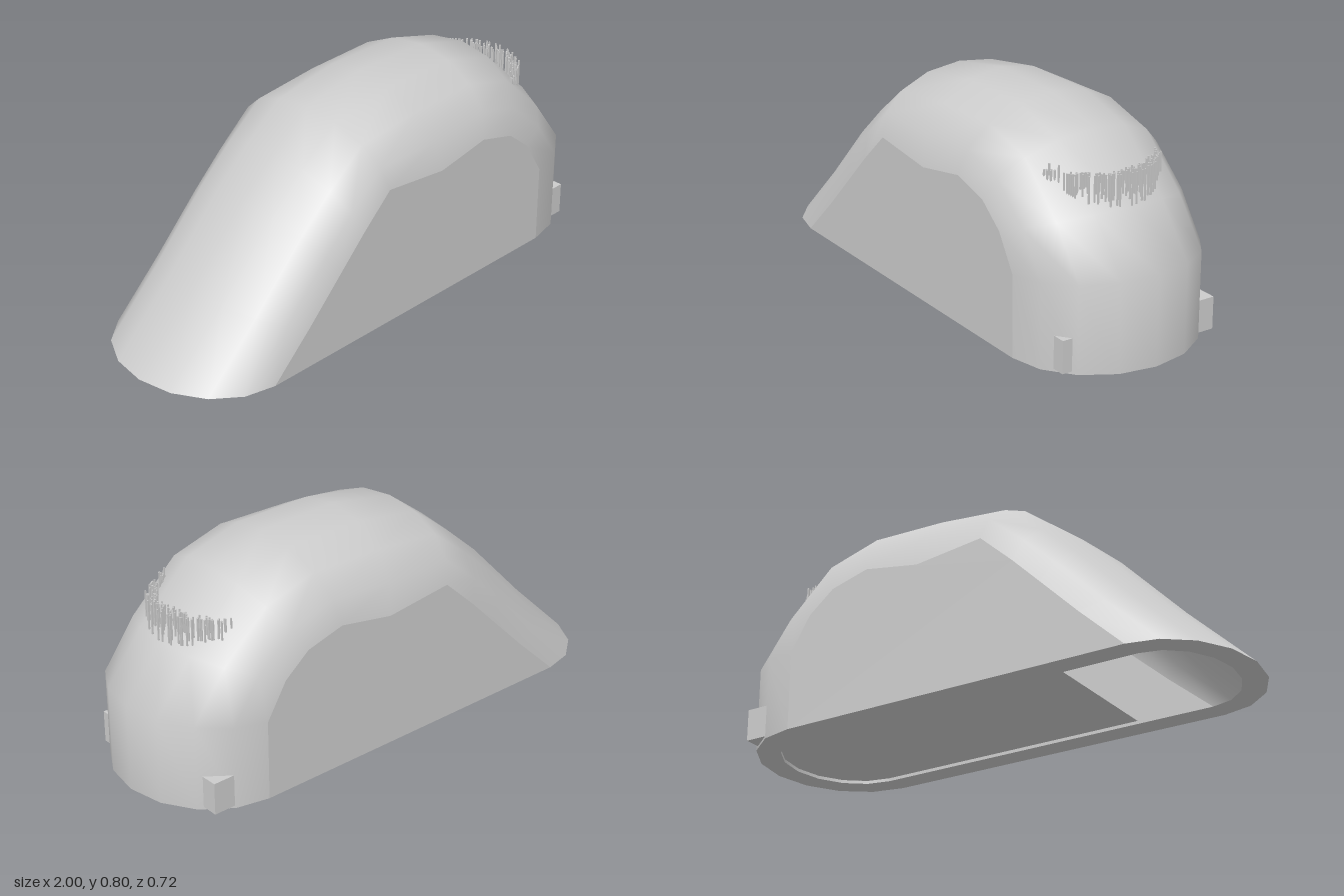
import * as THREE from 'three';

// Matching side profiles (x, y): along the centre line and along the flat side walls
const CREST = [[-1, 0], [-0.75, 0.24], [-0.5, 0.5], [-0.35, 0.63], [-0.19, 0.75], [0.08, 0.8],
  [0.4, 0.795], [0.63, 0.73], [0.85, 0.52], [1, 0.33], [1, 0]];
const SIDE = [[-0.7, 0], [-0.53, 0.16], [-0.38, 0.31], [-0.27, 0.42], [-0.14, 0.54], [0.13, 0.51],
  [0.35, 0.55], [0.5, 0.51], [0.6, 0.43], [0.68, 0.3], [0.68, 0]];
const HALF = 0.36, WALL = 0.09, ARC = 8;

const mat = new THREE.MeshStandardMaterial({ color: 0xcccccc });
const matDouble = new THREE.MeshStandardMaterial({ color: 0xcccccc, side: THREE.DoubleSide });

function named(name, geometry, material = mat) {
  const mesh = new THREE.Mesh(geometry, material);
  mesh.name = name;
  return mesh;
}

// Point i of the profile, swung from one side wall (j = 0) over the crest to the other (j = ARC)
function skinPoint(crest, side, half, i, j) {
  const a = -Math.PI / 2 + Math.PI * j / ARC, c = Math.cos(a);
  return [THREE.MathUtils.lerp(side[i][0], crest[i][0], c),
    THREE.MathUtils.lerp(side[i][1], crest[i][1], c), half * Math.sin(a)];
}

function skin(crest, side, half) {
  const pos = [], idx = [];
  for (let i = 0; i < crest.length; i++) {
    for (let j = 0; j <= ARC; j++) {
      pos.push(...skinPoint(crest, side, half, i, j));
      if (i < crest.length - 1 && j < ARC) {
        const a = i * (ARC + 1) + j, b = a + ARC + 1;
        idx.push(a, a + 1, b, a + 1, b + 1, b);
      }
    }
  }
  const g = new THREE.BufferGeometry();
  g.setAttribute('position', new THREE.Float32BufferAttribute(pos, 3));
  g.setIndex(idx);
  g.computeVertexNormals();
  return g;
}

// Outline on the ground, as (x, z) points
function footprint(crest, side, half) {
  const pts = [];
  for (let j = 0; j <= ARC; j++) pts.push(skinPoint(crest, side, half, 0, j));
  for (let j = ARC; j >= 0; j--) pts.push(skinPoint(crest, side, half, crest.length - 1, j));
  return pts.map(p => new THREE.Vector2(p[0], p[2]));
}

// Skin plus the two flat side walls
function shell(name, crest, side, half, material) {
  const group = new THREE.Group();
  group.name = name;
  group.add(named(name + 'Skin', skin(crest, side, half), material));
  const shape = new THREE.Shape(side.map(p => new THREE.Vector2(...p)));
  for (const s of [1, -1]) {
    const wall = named(name + (s > 0 ? 'FrontWall' : 'BackWall'), new THREE.ShapeGeometry(shape), matDouble);
    wall.position.z = s * half;
    group.add(wall);
  }
  return group;
}

function box(name, x0, x1, y0, y1, z0, z1) {
  const mesh = named(name, new THREE.BoxGeometry(x1 - x0, y1 - y0, z1 - z0));
  mesh.position.set((x0 + x1) / 2, (y0 + y1) / 2, (z0 + z1) / 2);
  return mesh;
}

export function createModel() {
  const model = new THREE.Group();
  model.name = 'shellBody';

  // Outer shell and the hollow inside it
  const inset = ([x, y]) => [x * 0.91, Math.max(0, y * 0.89)];
  const innerCrest = CREST.map(inset), innerSide = SIDE.map(([x, y]) => [x, y * 0.89]);
  const innerHalf = HALF - WALL;
  model.add(shell('outerShell', CREST, SIDE, HALF, mat));
  model.add(shell('innerShell', innerCrest, innerSide, innerHalf, matDouble));

  // Flat rim around the opening
  const rimShape = new THREE.Shape(footprint(CREST, SIDE, HALF));
  const hole = footprint(innerCrest, innerSide, innerHalf);
  rimShape.holes.push(new THREE.Path(hole));
  model.add(named('rim', new THREE.ShapeGeometry(rimShape).rotateX(Math.PI / 2), matDouble));

  // Slightly recessed floor, leaving the nose open
  const floorX = -0.4;
  const tail = hole.filter(p => p.x > 0);
  const floorShape = new THREE.Shape([new THREE.Vector2(floorX, -innerHalf),
    new THREE.Vector2(floorX, innerHalf), ...tail]);
  const floor = named('floor', new THREE.ShapeGeometry(floorShape).rotateX(Math.PI / 2), matDouble);
  floor.position.y = 0.012;
  model.add(floor);

  // Small blocks at the tail corners
  model.add(box('frontBlock', 0.79, 0.89, 0.01, 0.13, 0.22, 0.305));
  model.add(box('backBlock', 0.75, 0.89, 0.01, 0.13, -0.33, -0.26));

  // Fringe of thin bristles hanging down to the skin from one level
  let seed = 7;
  const rand = () => (seed = (seed * 16807) % 2147483647) / 2147483647;
  const fringe = new THREE.Group();
  fringe.name = 'fringe';
  const count = 110, w = 0.005;
  for (let k = 0; k < count; k++) {
    const z = -0.205 + 0.43 * k / (count - 1);
    const reach = 1 - 11 * z * z;
    const t = reach * (0.35 + 0.65 * rand());
    const x = 0.755 - 1.7 * z * z + 0.1 * t - (z > 0.15 ? 0.5 * (z - 0.15) : 0);
    const top = k === 101 || k === 105 ? 0.66 : 0.64;
    fringe.add(box('bristle', x - w / 2, x + w / 2, 0.64 - 0.02 - 0.1 * t, top, z - w / 2, z + w / 2));
  }
  model.add(fringe);
  return model;
}
